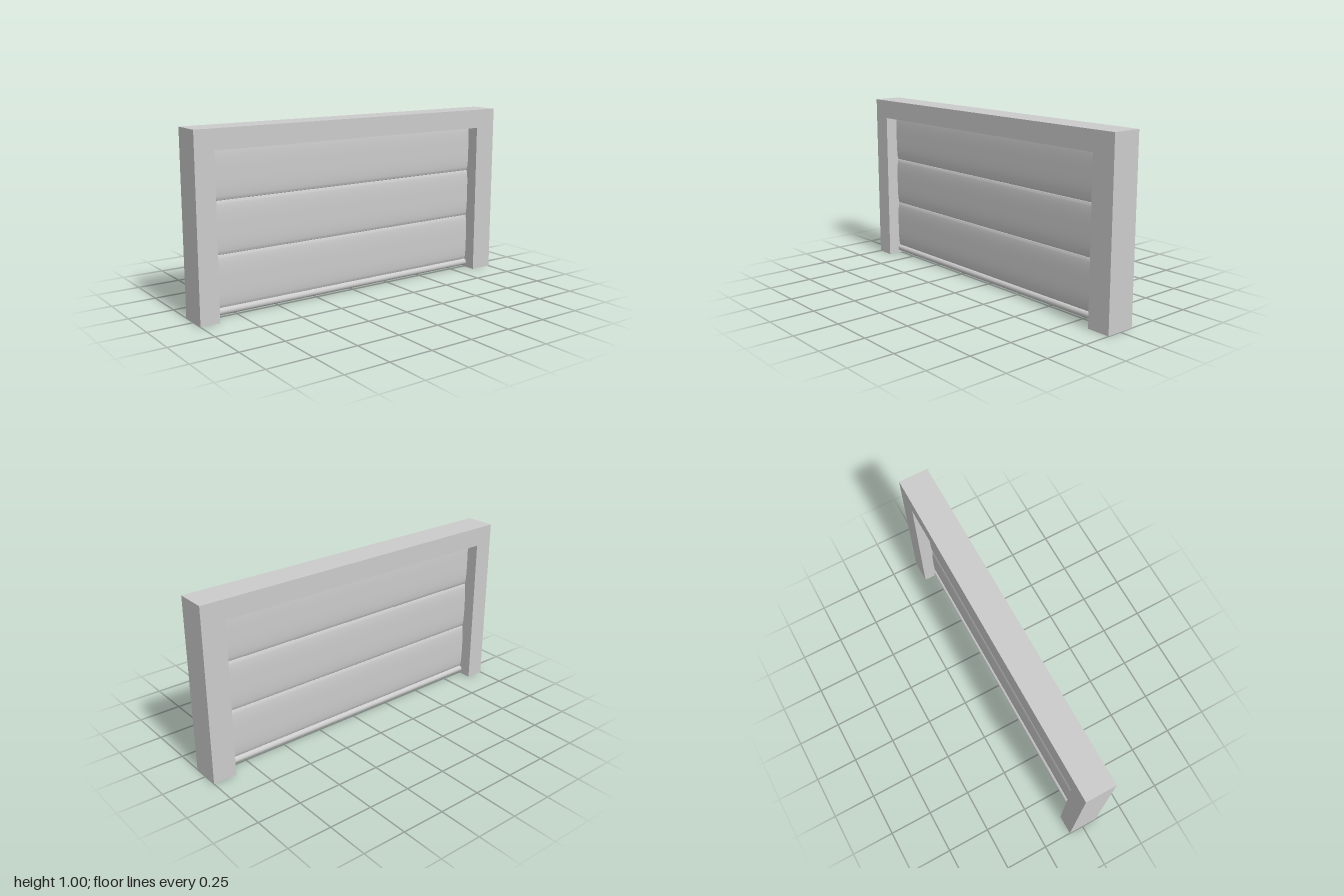
import * as THREE from 'three';
import { toCreasedNormals } from 'three/addons/utils/BufferGeometryUtils.js';

const LEFT = -0.89, RIGHT = 0.865, LINTEL = 0.89, DEPTH = 0.172;
const material = new THREE.MeshStandardMaterial({ color: 0xcccccc });

function addMesh(parent, name, geometry) {
  const mesh = new THREE.Mesh(geometry, material);
  mesh.name = name;
  parent.add(mesh);
  return mesh;
}

// Cushion-shaped slat cross-section, bulging equally to front and back
function slatGeometry(height, length) {
  const steps = 32, halfEdge = 0.002, bulge = 0.012;
  const side = [];
  for (let i = 0; i <= steps; i++) {
    const t = -Math.cos((Math.PI * i) / steps);
    const z = halfEdge + bulge * Math.sqrt(Math.max(0, 1 - Math.abs(t) ** 3));
    side.push(new THREE.Vector2(z, (t * height) / 2));
  }
  const other = side.map((p) => new THREE.Vector2(-p.x, p.y)).reverse();
  const geometry = new THREE.ExtrudeGeometry(new THREE.Shape([...side, ...other]), {
    depth: length, bevelEnabled: false,
  });
  geometry.translate(0, 0, -length / 2).rotateY(Math.PI / 2);
  return toCreasedNormals(geometry, 0.8);
}

export function createModel() {
  const model = new THREE.Group();
  model.name = 'rollerDoor';

  // Frame: two posts and a lintel in one piece
  const outline = new THREE.Shape([
    [-1, 0], [LEFT, 0], [LEFT, LINTEL], [RIGHT, LINTEL],
    [RIGHT, 0], [1, 0], [1, 1], [-1, 1],
  ].map(([x, y]) => new THREE.Vector2(x, y)));
  const frame = new THREE.ExtrudeGeometry(outline, { depth: DEPTH, bevelEnabled: false });
  addMesh(model, 'frame', frame.translate(0, 0, -DEPTH / 2));

  // Curtain of slats, its ends tucked just inside the posts
  const curtain = new THREE.Group();
  curtain.name = 'curtain';
  curtain.position.x = (LEFT + RIGHT) / 2;
  model.add(curtain);
  const length = RIGHT - LEFT + 0.01, pitch = 0.285, bottom = 0.05;
  const slat = slatGeometry(pitch, length);
  for (let i = 0; i < 3; i++) {
    addMesh(curtain, `slat${i + 1}`, slat).position.y = bottom + pitch * (i + 0.5);
  }

  // Round bar along the bottom edge
  const bar = new THREE.CylinderGeometry(0.02, 0.02, length, 32).rotateZ(Math.PI / 2);
  addMesh(curtain, 'bottomBar', bar).position.y = 0.031;

  return model;
}
